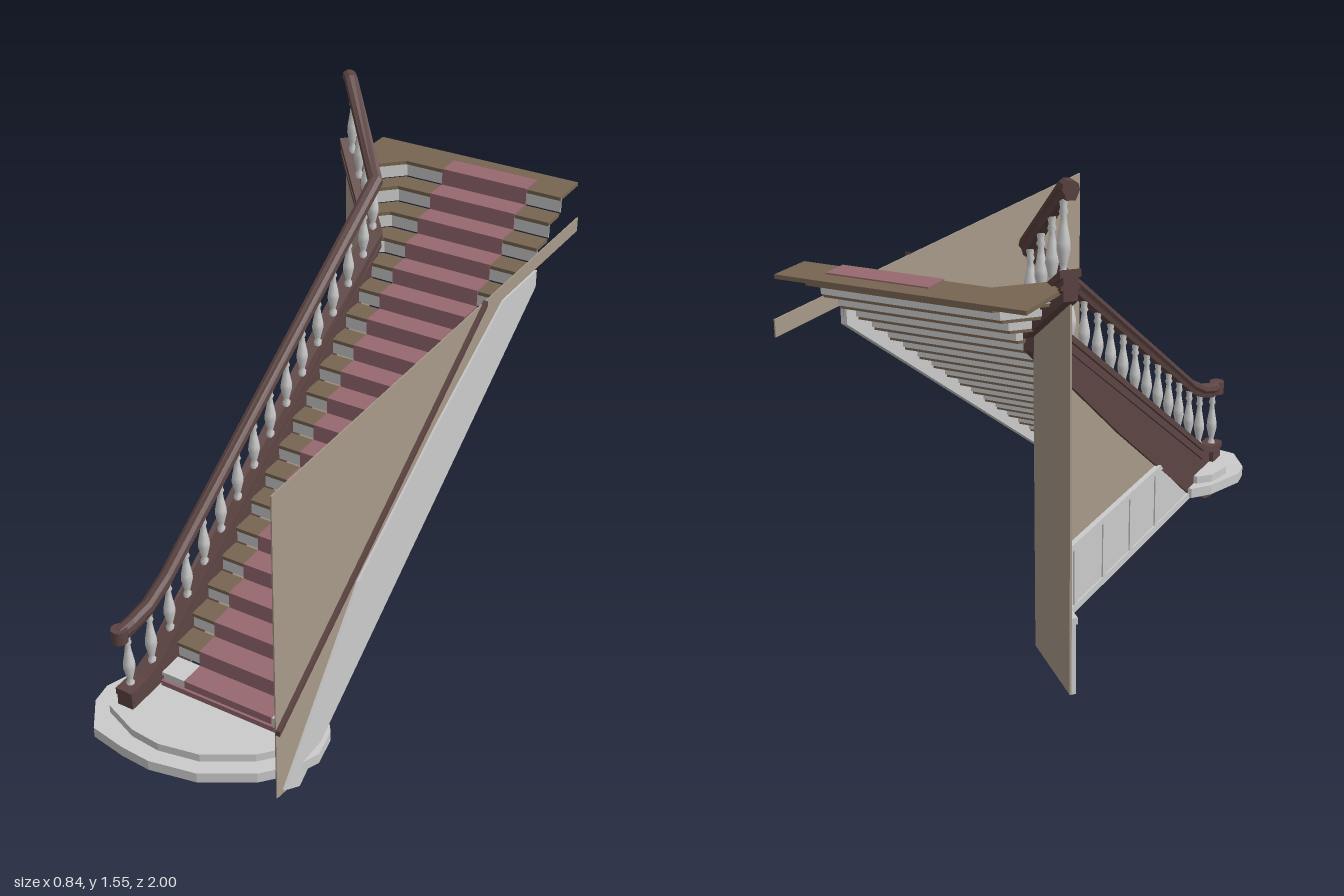
import * as THREE from 'three';

const mat = (color) => new THREE.MeshStandardMaterial({ color, side: THREE.DoubleSide });
const stone = mat(0xcccccc), wood = mat(0x5c4442), treadWood = mat(0x766550);
const carpetRed = mat(0x966870), plaster = mat(0xa89a8a);

const STEPS = 20, RISE = 0.0562, GOING = 0.0833, TOP = 1.265, RIGHT = 0.37, LEFT = -0.145;

function add(parent, name, geometry, material) {
  const mesh = new THREE.Mesh(geometry, material);
  mesh.name = name;
  parent.add(mesh);
  return mesh;
}

function box(parent, name, material, w, h, d, x, y, z) {
  const mesh = add(parent, name, new THREE.BoxGeometry(w, h, d), material);
  mesh.position.set(x, y, z);
  return mesh;
}

function extrude(points, depth) {
  const shape = new THREE.Shape(points.map((p) => new THREE.Vector2(p[0], p[1])));
  return new THREE.ExtrudeGeometry(shape, { depth, bevelEnabled: false });
}

// Upright slab drawn in (z, y), reaching from x to x - thickness
const sideSlab = (points, thickness, x) =>
  extrude(points, thickness).rotateY(-Math.PI / 2).translate(x, 0, 0);

// Flat slab drawn in (x, z), hanging down from its top height
const flatSlab = (points, thickness, top) =>
  extrude(points, thickness).rotateX(Math.PI / 2).translate(0, top, 0);

// Upright profile (across, up) swept along a path with mitred corners
function sweep(path, profile) {
  const pts = path.map((p) => new THREE.Vector3(...p)), n = profile.length;
  const flat = (a, b) => new THREE.Vector3(b.x - a.x, 0, b.z - a.z).normalize();
  const pos = [], index = [];
  pts.forEach((p, k) => {
    const before = flat(pts[Math.max(k - 1, 0)], pts[Math.max(k, 1)]);
    const after = flat(pts[Math.min(k, pts.length - 2)], pts[Math.min(k + 1, pts.length - 1)]);
    const t = before.clone().add(after).normalize(), miter = 1 / t.dot(after);
    for (const [u, v] of profile) pos.push(p.x - t.z * u * miter, p.y + v, p.z + t.x * u * miter);
  });
  for (let k = 0; k < pts.length - 1; k++) for (let j = 0; j < n; j++) {
    const a = k * n + j, b = k * n + (j + 1) % n;
    index.push(a, a + n, b, b, a + n, b + n);
  }
  const end = (pts.length - 1) * n;
  for (let j = 1; j < n - 1; j++) index.push(0, j, j + 1, end, end + j + 1, end + j);
  const g = new THREE.BufferGeometry();
  g.setAttribute('position', new THREE.Float32BufferAttribute(pos, 3));
  g.setIndex(index);
  const out = g.toNonIndexed();
  out.computeVertexNormals();
  return out;
}

const rect = (w, low, high) => [[-w, low], [w, low], [w, high], [-w, high]];

// Front edge of a tread; the top four turn toward the left
function nosing(i) {
  const z = -0.86 + GOING * i;
  if (i > 3) return [[RIGHT, z], [LEFT, z]];
  const x = [-0.2, -0.185, -0.165, LEFT][i];
  const t = (-0.59 + 0.92 * (x + 0.15) - z) / 1.92;
  return [[RIGHT, z], [x, z], [x - t, z + t]];
}

function buildSteps(root) {
  const steps = new THREE.Group();
  steps.name = 'steps';
  root.add(steps);
  for (let i = 0; i < STEPS; i++) {
    const y = TOP - RISE * i, front = nosing(i), z = front[0][1];
    const back = i ? nosing(i - 1) : [[RIGHT, -1], [-0.37, -1], [-0.37, -0.79]];
    add(steps, i ? 'tread' : 'landing', flatSlab([...front, ...back.reverse()], 0.012, y),
      i === STEPS - 1 ? stone : treadWood);
    const riser = front.map(([x, pz]) => [x, y, pz - 0.01]);
    add(steps, 'riser', sweep(riser, rect(0.002, -RISE, -0.006)), stone);
    // Carpet runner
    const run = i ? GOING : 0.08;
    box(steps, 'carpetTread', carpetRed, 0.31, 0.004, run, 0.095, y + 0.002, z - run / 2);
    box(steps, 'carpetRiser', carpetRed, 0.31, RISE, 0.004, 0.095, y + 0.004 - RISE / 2, z + 0.002);
  }
  box(steps, 'carpetFooter', carpetRed, 0.51, 0.02, 0.01, 0.115, 0.165, 0.73);
}

function buildPlatform(root) {
  const lower = [[-0.2, 0.6], [-0.25, 0.66], [-0.3, 0.8], [-0.29, 0.87], [-0.22, 0.97], [-0.1, 0.993],
    [0, 1], [0.15, 0.97], [0.3, 0.88], [0.38, 0.79], [0.41, 0.72], [0.39, 0.62], [0.36, 0.58]];
  const upper = [[-0.2, 0.65], [-0.24, 0.69], [-0.26, 0.78], [-0.22, 0.89], [-0.1, 0.94], [0, 0.95],
    [0.13, 0.925], [0.27, 0.84], [0.36, 0.74], [0.37, 0.65]];
  add(root, 'platformLower', flatSlab(lower, 0.035, 0.13), stone);
  add(root, 'platformUpper', flatSlab(upper, 0.027, 0.157), stone);
}

function buildRightWall(root) {
  add(root, 'rightWall', sideSlab([[0.9, 0.09], [0.9, 1.14], [-1, 1.14], [-1, 1.09], [-0.67, 1.09],
    [-0.67, 1.05], [0.79, 0.07]], 0.004, 0.38), plaster);
  add(root, 'rightSkirt', sideSlab([[0.87, 0.1], [0.46, 0.58], [0, 0.86], [-0.43, 1.09], [-0.67, 1.09],
    [-0.67, 1.03], [0.79, 0.05]], 0.02, 0.387), stone);
  add(root, 'rightRail', sweep([[0.385, 0.34, 0.9], [0.385, 1.14, -0.3]], rect(0.008, -0.009, 0.009)), wood);
}

function buildLeftWall(root) {
  add(root, 'leftWall', sideSlab([[-0.57, 0.09], [0.62, 0.09], [0, 0.57], [-0.57, 1.02]], 0.006, -0.172), plaster);
  // Panelled lower part of the straight wall
  add(root, 'wainscot', sideSlab([[-0.57, 0.09], [0.62, 0.09], [0.32, 0.32], [-0.57, 0.32]], 0.008, -0.178), stone);
  add(root, 'wainscotCap', sideSlab([[-0.57, 0.305], [0.34, 0.305], [0.32, 0.325], [-0.57, 0.325]], 0.018, -0.178), stone);
  add(root, 'wainscotBase', sideSlab([[-0.57, 0.09], [0.62, 0.09], [0.59, 0.115], [-0.57, 0.115]], 0.013, -0.178), stone);
  for (let k = 0; k < 5; k++)
    box(root, 'wainscotStile', stone, 0.013, 0.2, 0.025, -0.184, 0.21, -0.54 + k * 0.21);
  // Wall turning away at the top, drawn along its own length
  const turn = new THREE.Group();
  turn.name = 'turnedWall';
  turn.position.set(-0.178, 0, -0.57);
  turn.rotation.y = Math.PI * 0.75;
  root.add(turn);
  const L = 0.3;
  add(turn, 'turnedWallPanel', extrude([[0, 0.09], [L, 0.09], [L, 1.26], [0, 1.04]], 0.006), plaster);
  box(turn, 'wainscot', stone, L, 0.23, 0.008, L / 2, 0.205, -0.004);
  box(turn, 'wainscotCap', stone, L, 0.02, 0.018, L / 2, 0.315, -0.009);
  box(turn, 'wainscotBase', stone, L, 0.025, 0.013, L / 2, 0.1025, -0.006);
  for (const s of [0.0125, L / 2, L - 0.0125])
    box(turn, 'wainscotStile', stone, 0.025, 0.2, 0.013, s, 0.21, -0.006);
}

function buildBalustrade(root) {
  const rail = [[-0.185, 0.42, 0.865], [-0.18, 0.425, 0.81], [-0.17, 0.445, 0.74], [-0.167, 0.49, 0.65],
    [-0.162, 1.3, -0.58], [-0.38, 1.53, -0.795], [-0.41, 1.532, -0.83]];
  const cap = [[-0.18, 0.215, 0.87], [-0.175, 0.22, 0.79], [-0.17, 0.25, 0.72],
    [-0.167, 1.125, -0.58], [-0.4, 1.325, -0.81]];
  add(root, 'handrail', sweep(rail, [[-0.012, -0.024], [0.012, -0.024], [0.016, -0.008], [0.023, 0.002],
    [0.02, 0.018], [0.008, 0.026], [-0.008, 0.026], [-0.02, 0.018], [-0.023, 0.002], [-0.016, -0.008]]), wood);
  const scroll = add(root, 'handrailEnd', new THREE.CylinderGeometry(0.026, 0.026, 0.045, 10), wood);
  scroll.position.set(-0.185, 0.422, 0.86);

  // String board below the balusters with its mouldings
  add(root, 'stringBoard', sideSlab([[0.86, 0.2], [0.72, 0.235], [-0.58, 1.11], [-0.58, 1.0], [0, 0.55],
    [0.63, 0.09], [0.78, 0.02], [0.84, 0.01], [0.86, 0.03]], 0.04, -0.147), wood);
  add(root, 'stringCap', sweep(cap, rect(0.029, -0.022, 0)), wood);
  add(root, 'stringMoulding', sweep(cap.slice(2), rect(0.026, -0.055, -0.042)), wood);
  add(root, 'turnedString', sweep(cap.slice(3), rect(0.02, -0.085, -0.01)), wood);
  box(root, 'newelBlock', wood, 0.055, 0.06, 0.07, -0.175, 0.187, 0.835);

  // Height and x at a given z on a path
  const at = (path, z) => {
    let k = 0;
    while (k < path.length - 2 && path[k + 1][2] > z) k++;
    const [a, b] = [path[k], path[k + 1]], t = (z - a[2]) / (b[2] - a[2]);
    return [a[0] + (b[0] - a[0]) * t, a[1] + (b[1] - a[1]) * t];
  };
  const profile = [[0.013, 0], [0.013, 0.08], [0.008, 0.12], [0.011, 0.18], [0.019, 0.36], [0.018, 0.46],
    [0.011, 0.66], [0.008, 0.78], [0.013, 0.83], [0.009, 0.88], [0.013, 1]].map((p) => new THREE.Vector2(...p));
  const turned = new THREE.LatheGeometry(profile, 8);
  const zs = [];
  for (let k = 0; k < 15; k++) zs.push(0.83 - k * 0.0955);
  for (let k = 0; k < 4; k++) zs.push(-0.595 - k * 0.062);
  for (const z of zs) {
    const [x, top] = at(rail, z), low = at(cap, z)[1] - 0.01;
    const baluster = add(root, 'baluster', turned, stone);
    baluster.position.set(x, low, z);
    baluster.scale.y = top - 0.015 - low;
  }
}

export function createModel() {
  const root = new THREE.Group();
  root.name = 'staircase';
  buildSteps(root);
  buildPlatform(root);
  buildRightWall(root);
  buildLeftWall(root);
  buildBalustrade(root);
  return root;
}
